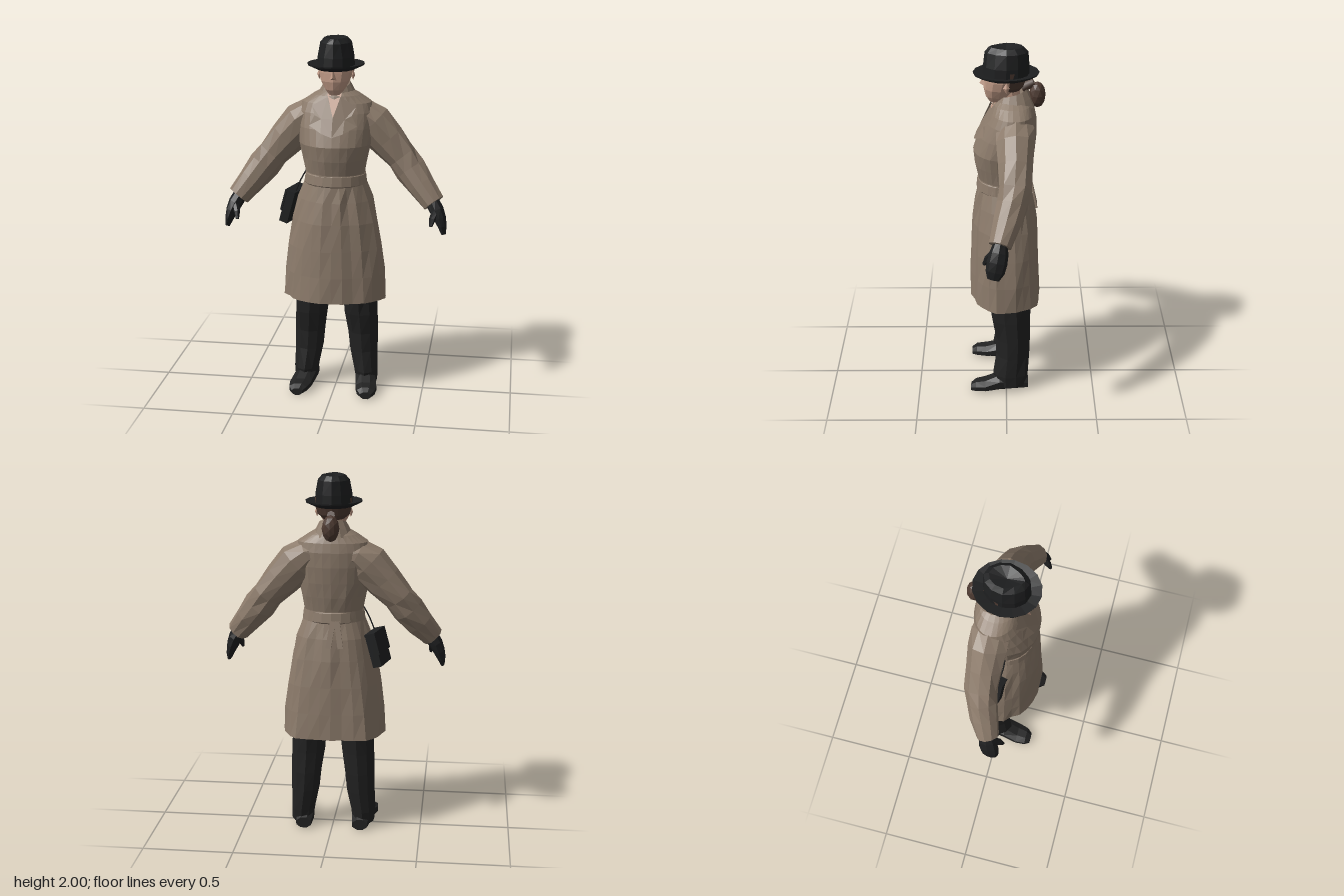
import * as THREE from 'three';

const V = (x, y, z) => new THREE.Vector3(x, y, z);
const mat = (name, color, both) => {
  const m = new THREE.MeshStandardMaterial({ color });
  m.name = name;
  if (both) m.side = THREE.DoubleSide;
  return m;
};
// repeatable wobble between -1 and 1 for cloth folds
const wobble = (i, j) => {
  const s = Math.sin(i * 12.99 + j * 78.23) * 43758.55;
  return 2 * (s - Math.floor(s)) - 1;
};

// faceted geometry from a flat list of triangle corners
function facets(pts) {
  const g = new THREE.BufferGeometry().setFromPoints(pts);
  g.computeVertexNormals();
  return g;
}
// skin over rings of points, with an optional end point; open leaves the strip unjoined
function loft(rings, { start = null, end = null, open = false } = {}) {
  const t = [], n = rings[0].length;
  for (let i = 0; i < rings.length - 1; i++)
    for (let j = 0; j < (open ? n - 1 : n); j++) {
      const k = (j + 1) % n, [a, b] = [rings[i], rings[i + 1]];
      t.push(a[j], a[k], b[k], a[j], b[k], b[j]);
    }
  const cap = (r, c, flip) => {
    for (let j = 0; j < n; j++) {
      const k = (j + 1) % n;
      t.push(c, flip ? r[k] : r[j], flip ? r[j] : r[k]);
    }
  };
  if (start) cap(rings[0], start, true);
  if (end) cap(rings[rings.length - 1], end, false);
  return facets(t);
}
const mid = (ring) => ring.reduce((s, p) => s.add(p), V(0, 0, 0)).divideScalar(ring.length);
const solid = (rings) => loft(rings, { start: mid(rings[0]), end: mid(rings[rings.length - 1]) });
function mirrored(g) {
  const p = g.getAttribute('position'), out = [];
  for (let i = 0; i < p.count; i += 3)
    for (const k of [0, 2, 1]) out.push(V(-p.getX(i + k), p.getY(i + k), p.getZ(i + k)));
  return facets(out);
}
// level ring: half width, front z, back z
function ring(y, rx, zf, zb, n, a0 = 0, a1 = Math.PI * 2, open = false) {
  return Array.from({ length: n }, (_, j) => {
    const t = a0 + (a1 - a0) * j / (open ? n - 1 : n);
    return V(rx * Math.sin(t), y, (zf + zb) / 2 + (zf - zb) / 2 * Math.cos(t));
  });
}
// limb along a path of [x, y, z, rAcross, rDepth]
function limb(path, n, amp = 0) {
  const c = path.map(p => V(p[0], p[1], p[2]));
  return solid(path.map((p, i) => {
    const d = c[Math.min(i + 1, c.length - 1)].clone().sub(c[Math.max(i - 1, 0)]).normalize();
    const u = V(0, 0, 1).cross(d).normalize(), v = d.clone().cross(u);
    return Array.from({ length: n }, (_, j) => {
      const t = j / n * Math.PI * 2, k = 1 + amp * wobble(i, j);
      return c[i].clone().addScaledVector(u, Math.cos(t) * p[3] * k).addScaledVector(v, Math.sin(t) * p[4] * k);
    });
  }));
}

// coat levels: y, half width, front z, back z, fold depth
const COAT = [
  [0.555, 0.285, 0.207, -0.188, 0.04], [0.7, 0.277, 0.202, -0.182, 0.04], [0.85, 0.258, 0.196, -0.175, 0.045],
  [1.0, 0.232, 0.186, -0.165, 0.05], [1.12, 0.205, 0.172, -0.15, 0.05], [1.21, 0.172, 0.156, -0.13, 0.02],
  [1.27, 0.162, 0.154, -0.128, 0.02], [1.35, 0.178, 0.17, -0.145, 0.03], [1.43, 0.195, 0.18, -0.155, 0.02],
  [1.52, 0.205, 0.15, -0.163, 0.01], [1.6, 0.205, 0.112, -0.163, 0.01], [1.65, 0.19, 0.085, -0.153, 0],
  [1.69, 0.13, 0.07, -0.137, 0], [1.72, 0.075, 0.04, -0.11, 0]];

// point on the coat front, lifted by off
function chest(x, y, off) {
  let i = 0;
  while (COAT[i + 1][0] < y) i++;
  const [a, b] = [COAT[i], COAT[i + 1]], k = (y - a[0]) / (b[0] - a[0]);
  const [rx, zf, zb] = [1, 2, 3].map(q => a[q] + (b[q] - a[q]) * k);
  return V(x, y, (zf + zb) / 2 + (zf - zb) / 2 * Math.sqrt(1 - (x / rx) ** 2) + off);
}
function plate(outline, off) {
  const pts = outline.map(([x, y]) => chest(x, y, off));
  const c = mid(pts), t = [];
  pts.forEach((p, i) => t.push(c, p, pts[(i + 1) % pts.length]));
  return facets(t);
}
// coat ring: squarer at the back, with two lobes at the hem, folds and a front slit
function coatRing([y, rx, zf, zb, fold], i) {
  const n = 28, cz = (zf + zb) / 2, rz = (zf - zb) / 2;
  return ring(y, rx, zf, zb, n).map((p, j) => {
    const c = (p.z - cz) / rz;
    const z = c < 0 ? cz - rz * Math.pow(-c, 0.75) : p.z;
    const lobe = c < 0 && y < 1.05 ? 0.1 * Math.exp(-(((Math.abs(p.x) / rx - 0.6) / 0.2) ** 2)) * (1.05 - y) / 0.5 : 0;
    const slit = y < 1.2 && j === 2 ? -0.08 : 0;
    const k = 1 + fold * (0.5 * wobble(3, j) + 0.5 * wobble(i, j)) + slit + lobe;
    return V(p.x * k, y, z * k);
  });
}

export function createModel() {
  const root = new THREE.Group();
  const coat = mat('coat cloth', 0x8c7b6b, true);
  const dark = mat('trousers and shoes', 0x222222);
  const black = mat('hat and gloves', 0x1e1f20, true);
  const skin = mat('skin', 0xc09a86, true);
  const hair = mat('hair', 0x4d3a31, true);
  const add = (name, g, m) => {
    const mesh = new THREE.Mesh(g, m);
    mesh.name = name;
    root.add(mesh);
    return mesh;
  };
  const pair = (name, g, m) => {
    add(name + 'Left', g, m);
    add(name + 'Right', mirrored(g), m);
  };

  // coat body and belt with hanging ends
  add('coatBody', loft(COAT.map(coatRing)), coat);
  add('belt', loft([[1.205, 0.168], [1.212, 0.174], [1.262, 0.168], [1.27, 0.158]].map(([y, r]) =>
    ring(y, r, r - 0.01, 0.033 - r, 20))), coat);
  for (const s of [-1, 1]) {
    const end = add('beltEnd', new THREE.BoxGeometry(0.03, 0.15, 0.01), coat);
    end.position.set(s * 0.022 - 0.02, 1.15, -0.152);
    end.rotation.set(0.2, 0, s * 0.15);
  }

  // lapels, collar and open neck
  add('neckOpening', plate([[-0.04, 1.705], [0, 1.585], [0.04, 1.705]], 0.01), skin);
  pair('lapel', plate([[0.035, 1.69], [0, 1.58], [0, 1.485], [0.06, 1.505], [0.13, 1.54], [0.1, 1.595], [0.12, 1.64]], 0.014), coat);
  add('collar', loft([[1.65, 0.125, 0.1, -0.155], [1.7, 0.1, 0.075, -0.135], [1.75, 0.073, 0.045, -0.112], [1.7, 0.062, 0.03, -0.1]]
    .map(([y, rx, zf, zb]) => ring(y, rx, zf, zb, 13, 0.5, Math.PI * 2 - 0.5, true)
      .map(p => V(p.x, p.y + (p.z + 0.03) * -0.28, p.z))), { open: true }), coat);

  // sleeves flowing out of the shoulders
  pair('sleeve', limb([[0.06, 1.6, -0.05, 0.07, 0.085], [0.135, 1.58, -0.05, 0.082, 0.1], [0.195, 1.53, -0.05, 0.108, 0.105],
    [0.28, 1.44, -0.05, 0.1, 0.095], [0.36, 1.345, -0.042, 0.088, 0.088], [0.41, 1.28, -0.027, 0.086, 0.085],
    [0.47, 1.2, 0, 0.08, 0.077], [0.543, 1.11, 0.033, 0.061, 0.06]], 10, 0.08), coat);

  // gloves
  pair('glove', limb([[0.53, 1.125, 0.03, 0.04, 0.035], [0.56, 1.075, 0.04, 0.04, 0.05], [0.58, 1.03, 0.05, 0.034, 0.054],
    [0.595, 0.985, 0.06, 0.024, 0.05], [0.603, 0.945, 0.07, 0.012, 0.032]], 8), black);
  pair('thumb', limb([[0.555, 1.07, 0.07, 0.02, 0.022], [0.541, 1.035, 0.1, 0.018, 0.018], [0.535, 1.0, 0.118, 0.009, 0.01]], 6), black);

  // trousers
  const legs = [[0.03, 0.175, -0.027, 0.062, 0.088], [0.1, 0.172, -0.025, 0.068, 0.098], [0.22, 0.157, -0.035, 0.08, 0.092],
    [0.33, 0.15, -0.035, 0.086, 0.096], [0.45, 0.142, -0.025, 0.094, 0.11], [0.58, 0.135, -0.02, 0.098, 0.118], [0.9, 0.1, -0.01, 0.095, 0.11]];
  pair('trouserLeg', solid(legs.map(([y, cx, cz, rx, rz], i) =>
    ring(y, rx, rz, -rz, 10).map((p, j) => {
      const k = 1 + 0.04 * wobble(i, j);
      return V(cx + p.x * k, y, cz + p.z * k);
    }))), dark);

  // shoes, flat underneath
  const shoes = [[-0.125, 0.16, 0.042, 0.06], [-0.05, 0.165, 0.054, 0.1], [0.04, 0.175, 0.058, 0.095],
    [0.12, 0.188, 0.06, 0.065], [0.175, 0.193, 0.05, 0.058], [0.203, 0.195, 0.03, 0.04]];
  pair('shoe', solid(shoes.map(([z, cx, w, h]) => Array.from({ length: 8 }, (_, j) => {
    const t = (j + 0.5) / 8 * Math.PI * 2;
    return V(cx + w * Math.cos(t) * 1.08, h * (0.5 + 0.54 * Math.sin(t)), z);
  }))), dark);

  // head, neck, nose and ears
  add('neck', solid([ring(1.6, 0.06, 0.04, -0.09, 10), ring(1.78, 0.05, 0.05, -0.07, 10)]), skin);
  add('head', solid([[1.7, 0.03, 0.09, 0.01], [1.73, 0.055, 0.11, -0.03], [1.775, 0.08, 0.12, -0.06], [1.82, 0.093, 0.117, -0.08],
    [1.88, 0.095, 0.11, -0.09]].map(([y, rx, zf, zb]) => ring(y, rx, zf, zb, 12))), skin);
  const [brow, tip, l, r] = [V(0, 1.85, 0.112), V(0, 1.8, 0.142), V(0.02, 1.785, 0.112), V(-0.02, 1.785, 0.112)];
  add('nose', facets([brow, r, tip, brow, tip, l, r, l, tip]), skin);
  for (const s of [-1, 1]) {
    const ear = add('ear', new THREE.OctahedronGeometry(0.026), skin);
    ear.scale.set(0.45, 1.1, 0.7);
    ear.position.set(s * 0.092, 1.8, 0);
  }

  // hair and ponytail
  add('hairBack', loft([[1.765, 0.06, 0.08, -0.075], [1.79, 0.088, 0.1, -0.095], [1.83, 0.1, 0.1, -0.106], [1.88, 0.1, 0.1, -0.108]]
    .map(([y, rx, zf, zb]) => ring(y, rx, zf, zb, 9, 1.72, Math.PI * 2 - 1.72, true)), { open: true }), hair);
  const tail = add('ponytail', facets(new THREE.IcosahedronGeometry(0.05, 1).getAttribute('position').array
    .reduce((t, v, i, a) => (i % 3 ? t : [...t, V(v, a[i + 1], a[i + 2])]), [])), hair);
  tail.scale.set(0.95, 1.45, 0.88);
  tail.position.set(0, 1.735, -0.165);
  const tie = add('hairTie', new THREE.CylinderGeometry(0.022, 0.028, 0.07, 7), hair);
  tie.rotation.x = -1.1;
  tie.position.set(0, 1.79, -0.115);

  // hat: pinched crown with a dented top, and a cupped brim
  const crown = [[1.84, 0.102, 0.125, -0.122, 0], [1.9, 0.1, 0.122, -0.122, 0], [1.975, 0.086, 0.113, -0.116, 0.15], [2.0, 0.062, 0.09, -0.09, 0.45]]
    .map(([y, rx, zf, zb, pinch]) => ring(y, rx, zf, zb, 12).map(p =>
      V(p.x * (1 - pinch * Math.max(0, p.z / zf)), p.y, p.z)));
  add('hatCrown', loft(crown, { end: V(0, 1.98, 0) }), black);
  add('hatBrim', loft([[1.855, 0.153, 0.175, -0.173], [1.863, 0.155, 0.177, -0.175], [1.852, 0.1, 0.122, -0.12], [1.832, 0.104, 0.126, -0.124], [1.855, 0.153, 0.175, -0.173]]
    .map(([y, rx, zf, zb]) => ring(y, rx, zf, zb, 16))), black);

  // shoulder bag with flap and strap
  const bag = new THREE.Group();
  bag.name = 'bag';
  bag.position.set(-0.25, 1.055, -0.04);
  bag.rotation.set(0, -0.25, -0.28, 'YXZ');
  for (const [name, w, h, d, x, y] of [['bagBody', 0.05, 0.18, 0.17, 0, 0], ['bagFlap', 0.012, 0.12, 0.18, -0.028, 0.036], ['bagTop', 0.06, 0.012, 0.18, -0.004, 0.093]]) {
    const m = new THREE.Mesh(new THREE.BoxGeometry(w, h, d), black);
    m.name = name;
    m.position.set(x, y, 0);
    bag.add(m);
  }
  root.add(bag);
  add('bagStrap', new THREE.TubeGeometry(new THREE.CatmullRomCurve3([V(-0.225, 1.14, 0.02), V(-0.19, 1.22, 0.03), V(-0.15, 1.29, 0.03)]), 6, 0.004, 5), black);

  return root;
}
